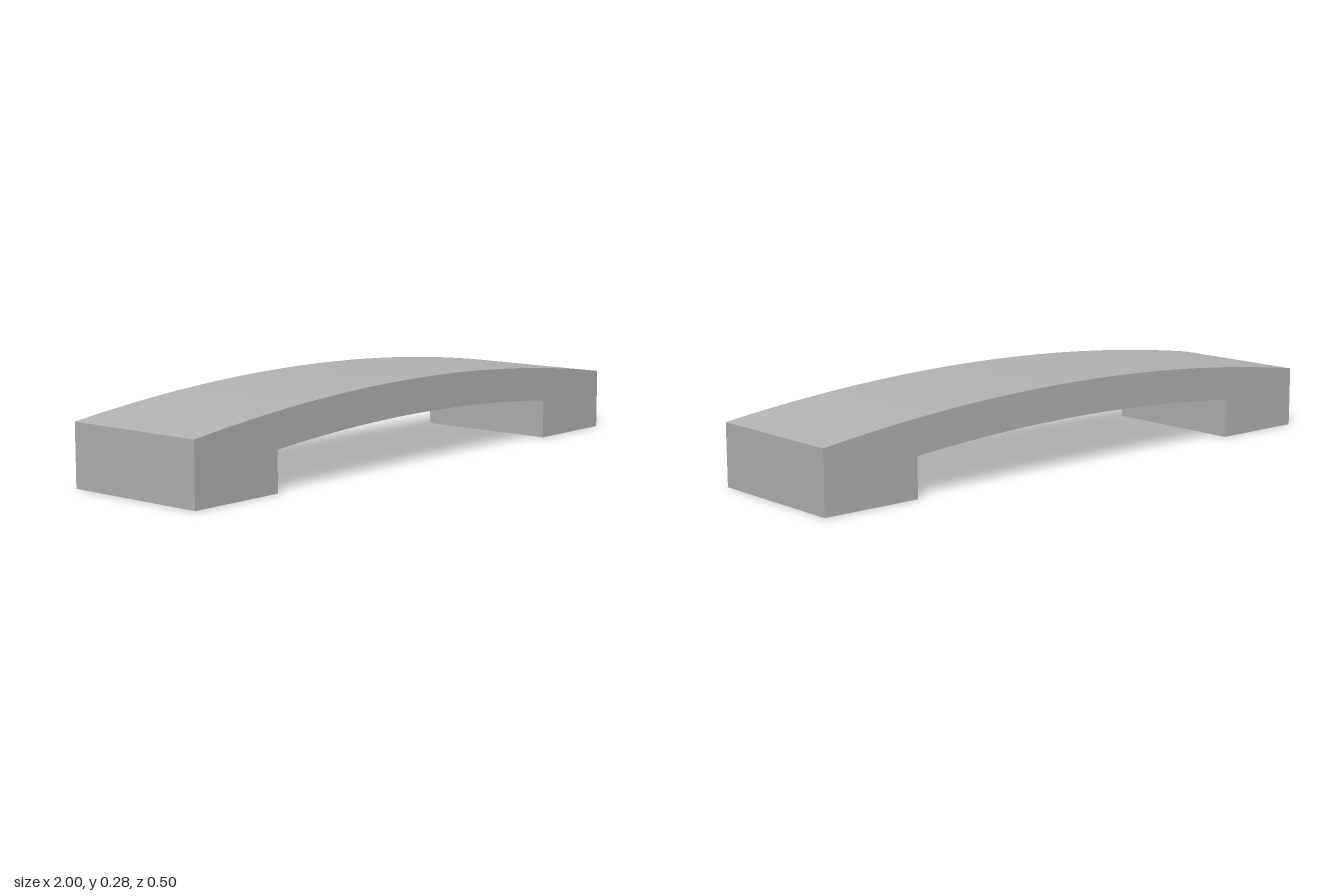
import * as THREE from 'three';

const DEPTH = 0.5;       // front to back
const HALF = 1;          // half length
const INNER = 0.667;     // half width of the opening
const END_TOP = 0.2;     // height of the ends
const CROWN = 0.275;     // height of the top at the middle
const THICKNESS = 0.112; // thickness of the arched span

export function createModel() {
  const group = new THREE.Group();
  group.name = 'archedHandle';

  const grey = new THREE.MeshStandardMaterial({ color: 0xb3b3b3 });
  grey.name = 'grey';

  // Two concentric arcs: the outer one meets the end tops, the inner one the feet
  const rise = CROWN - END_TOP;
  const outerR = (HALF * HALF + rise * rise) / (2 * rise);
  const innerR = outerR - THICKNESS;
  const centreY = CROWN - outerR;
  const outerA = Math.asin(HALF / outerR);
  const innerA = Math.asin(INNER / innerR);
  const up = Math.PI / 2;

  // Side profile: left foot, underside, right foot, top
  const profile = new THREE.Shape();
  profile.moveTo(-HALF, 0);
  profile.lineTo(-INNER, 0);
  profile.absarc(0, centreY, innerR, up + innerA, up - innerA, true);
  profile.lineTo(INNER, 0);
  profile.lineTo(HALF, 0);
  profile.absarc(0, centreY, outerR, up - outerA, up + outerA, false);
  profile.closePath();

  const geometry = new THREE.ExtrudeGeometry(profile, {
    depth: DEPTH, bevelEnabled: false, curveSegments: 32,
  });
  geometry.translate(0, 0, -DEPTH / 2);

  const body = new THREE.Mesh(geometry, grey);
  body.name = 'archedBody';
  group.add(body);
  return group;
}
